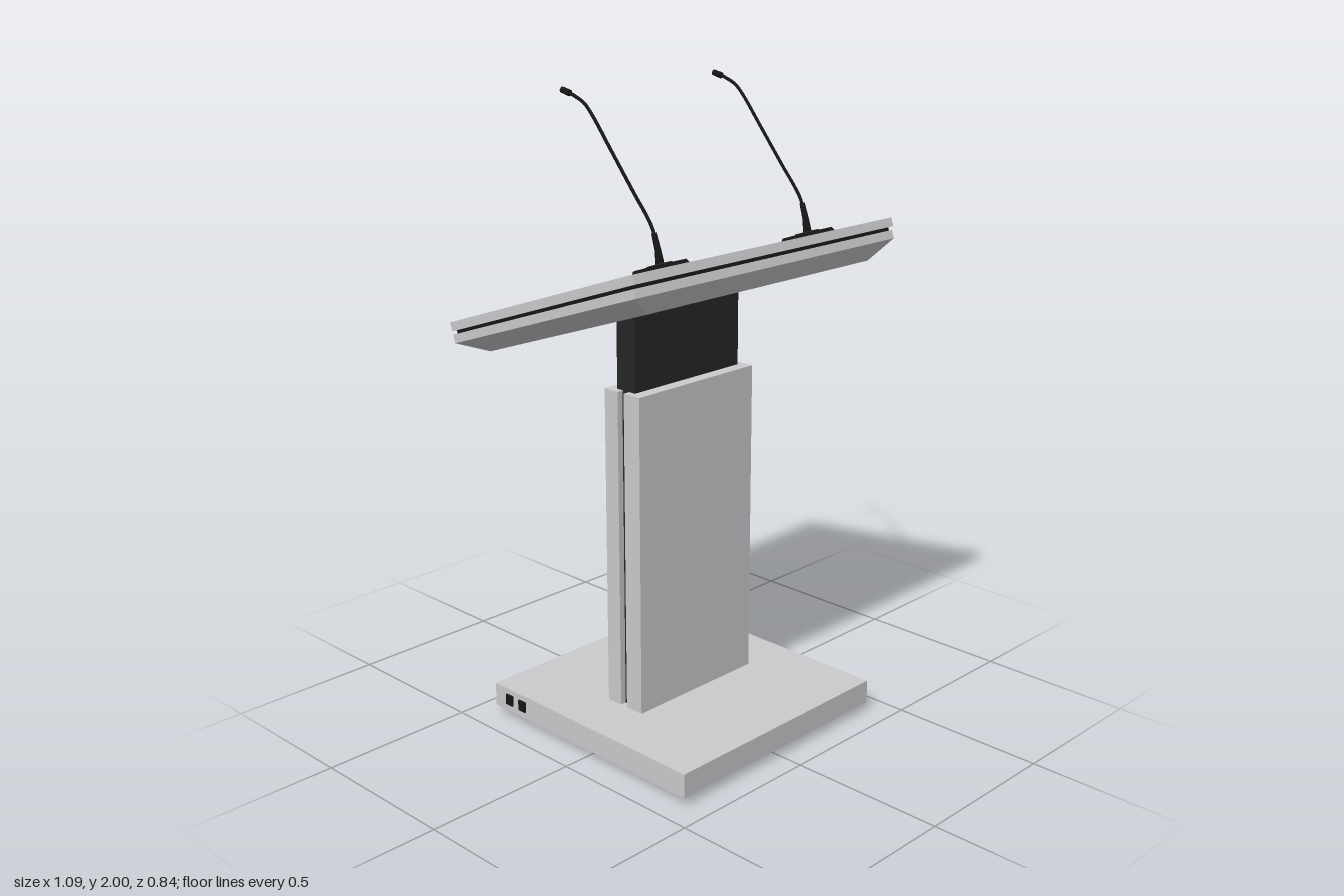
import * as THREE from 'three';

const mat = (name, color) => Object.assign(new THREE.MeshStandardMaterial({ color }), { name });

export function createModel() {
  const panel = mat('light grey panel', 0xcbcbce);
  const dark = mat('charcoal metal', 0x262626);
  const black = mat('black plastic', 0x161616);
  const seam = mat('seam grey', 0x55555a);

  const root = new THREE.Group();
  root.name = 'lectern';

  const add = (parent, name, geo, material, x = 0, y = 0, z = 0) => {
    const m = new THREE.Mesh(geo, material);
    m.name = name;
    m.position.set(x, y, z);
    parent.add(m);
    return m;
  };
  // box given by its limits on each axis
  const block = (parent, name, material, [x0, x1], [y0, y1], [z0, z1]) =>
    add(parent, name, new THREE.BoxGeometry(x1 - x0, y1 - y0, z1 - z0), material,
      (x0 + x1) / 2, (y0 + y1) / 2, (z0 + z1) / 2);
  // box whose top and bottom rectangles differ in size
  const taperedBox = (topW, topD, botW, botD, h) => {
    const g = new THREE.BoxGeometry(1, h, 1);
    const p = g.attributes.position;
    for (let i = 0; i < p.count; i++) {
      const top = p.getY(i) > 0;
      p.setX(i, p.getX(i) * (top ? topW : botW));
      p.setZ(i, p.getZ(i) * (top ? topD : botD));
    }
    g.computeVertexNormals();
    return g;
  };

  // base, column slabs and the lifting neck
  block(root, 'base', panel, [-0.42, 0.42], [0.028, 0.105], [-0.42, 0.42]);
  block(root, 'columnFront', panel, [-0.245, 0.245], [0.105, 1.12], [0.001, 0.065]);
  block(root, 'columnBack', panel, [-0.245, 0.245], [0.105, 1.12], [-0.08, -0.025]);
  block(root, 'columnCore', dark, [-0.225, 0.225], [0.105, 1.115], [-0.025, 0.001]);
  block(root, 'neck', dark, [-0.222, 0.222], [1.1, 1.37], [-0.05, 0.025]);

  // sockets on the side of the base
  for (const z of [-0.35, -0.29]) {
    block(root, 'socket', black, [-0.426, -0.42], [0.052, 0.086], [z - 0.015, z + 0.015]);
  }

  // front feet and rear wheels
  for (const s of [-1, 1]) {
    add(root, 'frontFoot', new THREE.CylinderGeometry(0.006, 0.006, 0.026, 12), black, s * 0.288, 0.018, 0.275);
    const wheel = add(root, 'rearWheel', new THREE.CylinderGeometry(0.015, 0.015, 0.012, 16), black, s * 0.288, 0.015, -0.4);
    wheel.rotation.z = Math.PI / 2;
    block(root, 'wheelFork', black, [s * 0.288 - 0.008, s * 0.288 + 0.008], [0.018, 0.03], [-0.408, -0.392]);
  }

  // tilted desk, with its top surface at local y = 0
  const desk = new THREE.Group();
  desk.name = 'desk';
  desk.position.set(0, 1.4475, -0.0325);
  desk.rotation.x = -THREE.MathUtils.degToRad(19);
  root.add(desk);
  block(desk, 'deskTop', panel, [-0.545, 0.545], [-0.027, 0], [-0.4065, 0.4065]);
  block(desk, 'deskGap', black, [-0.535, 0.535], [-0.037, -0.027], [-0.397, 0.395]);
  block(desk, 'deskRim', panel, [-0.545, 0.545], [-0.063, -0.037], [-0.4065, 0.3985]);
  add(desk, 'deskTray', taperedBox(1.09, 0.805, 0.94, 0.69, 0.047), panel, 0, -0.0865, -0.004);

  // thin outline of the inset panel
  const [z0, z1] = [-0.33, 0.177];
  const w = 0.0015;
  for (const z of [z0, z1]) {
    block(desk, 'panelSeam', seam, [-0.47, 0.47], [-0.001, 0.0008], [z - w, z + w]);
  }
  for (const x of [-0.47, 0.47]) {
    block(desk, 'panelSeam', seam, [x - w, x + w], [-0.001, 0.0008], [z0, z1]);
  }

  // gooseneck microphones
  const v = (y, z) => new THREE.Vector3(0, y, z);
  const rod = (parent, name, a, b, rTop, rBottom) => {
    const dir = b.clone().sub(a);
    const m = add(parent, name, new THREE.CylinderGeometry(rTop, rBottom, dir.length(), 16), black);
    m.position.copy(a).lerp(b, 0.5);
    m.quaternion.setFromUnitVectors(new THREE.Vector3(0, 1, 0), dir.normalize());
  };
  for (const s of [-1, 1]) {
    const x = s * 0.311;
    add(desk, 'microphonePlate', taperedBox(0.106, 0.106, 0.118, 0.118, 0.013), black, x, 0.0065, 0.27);
    add(desk, 'microphonePad', new THREE.CylinderGeometry(0.036, 0.038, 0.004, 32), dark, x, 0.014, 0.27);

    const mic = new THREE.Group();
    mic.name = 'microphone';
    mic.position.x = x;
    root.add(mic);
    rod(mic, 'microphoneSocket', v(1.54, 0.222), v(1.585, 0.213), 0.01, 0.014);
    rod(mic, 'microphoneHolder', v(1.58, 0.215), v(1.634, 0.197), 0.008, 0.01);
    const path = new THREE.CatmullRomCurve3([
      v(1.625, 0.2), v(1.655, 0.185), v(1.69, 0.158), v(1.73, 0.123), v(1.84, 0.032),
      v(1.935, -0.047), v(1.962, -0.077), v(1.978, -0.115), v(1.986, -0.14),
    ]);
    add(mic, 'gooseneck', new THREE.TubeGeometry(path, 48, 0.005, 10), black);
    rod(mic, 'microphoneHead', v(1.984, -0.135), v(1.991, -0.166), 0.009, 0.0095);
  }
  return root;
}
